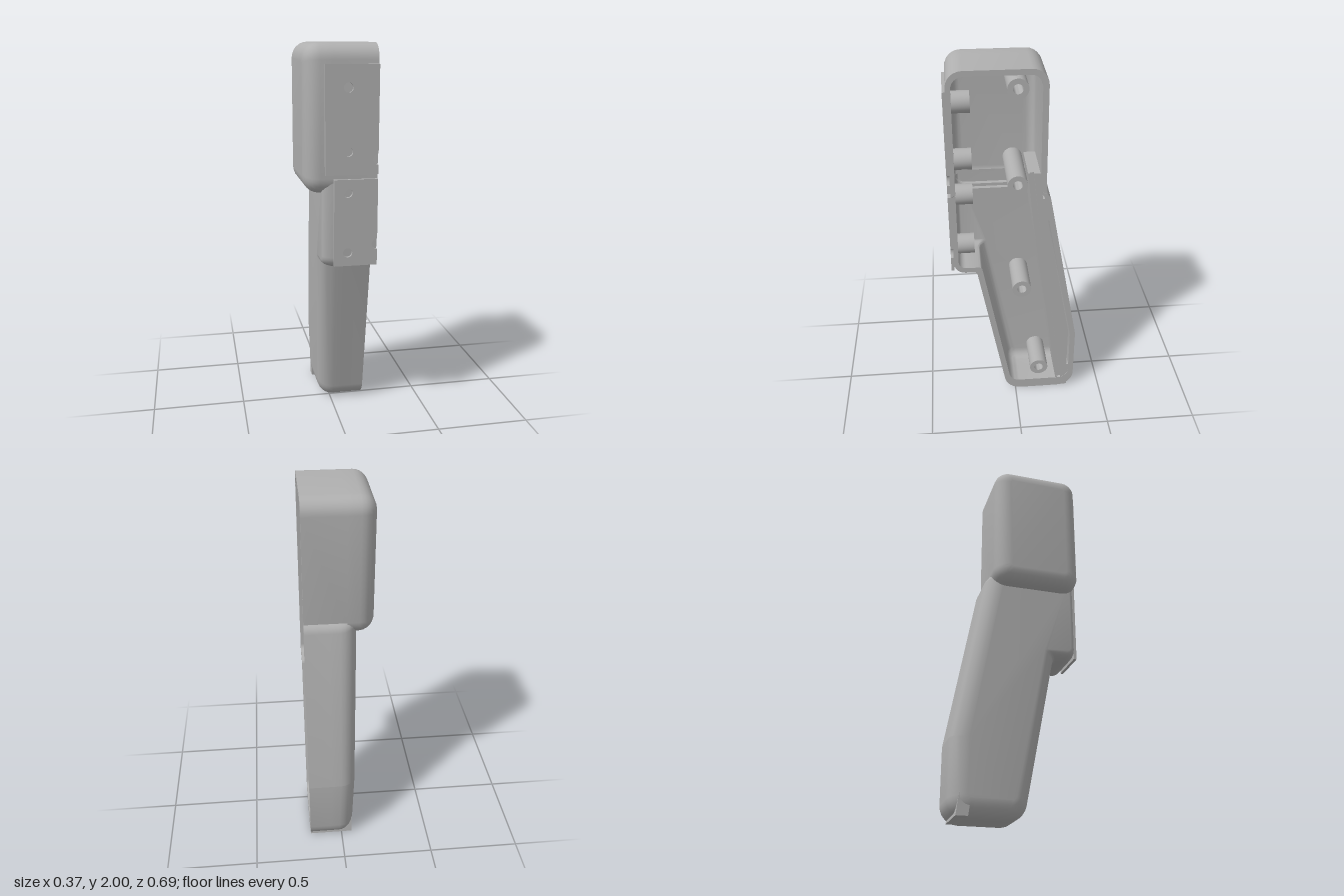
import * as THREE from 'three';
import { toCreasedNormals } from 'three/addons/utils/BufferGeometryUtils.js';

const OPEN = 0.183; // x of the open parting plane
const N = 6; // segments per rounded corner

// Rounded outline in (z, y). Each corner: [z, y, radius, fillet, wall]; the last two belong to the edge after it.
function outline(corners, fillet, wall) {
  const n = corners.length, lines = [], pts = [];
  for (let i = 0; i < n; i++) {
    const a = corners[i], b = corners[(i + 1) % n];
    const u = new THREE.Vector2(b[0] - a[0], b[1] - a[1]).normalize();
    const d = fillet * a[3] + wall * a[4];
    lines.push({ u, d, p: new THREE.Vector2(a[0] - u.y * d, a[1] + u.x * d) });
  }
  for (let i = 0; i < n; i++) {
    const A = lines[(i + n - 1) % n], B = lines[i];
    const turn = Math.atan2(A.u.cross(B.u), A.u.dot(B.u));
    const s = B.p.clone().sub(A.p).cross(B.u) / A.u.cross(B.u);
    const P = A.p.clone().addScaledVector(A.u, s);
    const r = turn > 0 ? Math.max(corners[i][2] - 0.4 * (A.d + B.d), Math.min(0.012, corners[i][2])) : corners[i][2];
    const start = P.addScaledVector(A.u, -r * Math.tan(Math.abs(turn) / 2));
    const side = Math.sign(turn) * r;
    const c = new THREE.Vector2(start.x - A.u.y * side, start.y + A.u.x * side);
    for (let k = 0; k <= N; k++) pts.push(start.clone().rotateAround(c, turn * k / N));
  }
  return pts;
}

// Hollow half shell: outer skin, rim, then inner skin
function shell(corners, side, fillet, mid, draft, skip) {
  const levels = [], inner = fillet * 0.55, floor = side + 0.03;
  for (let k = 0; k <= N; k++) {
    const t = k / N * Math.PI / 2;
    levels.push([fillet * (1 - Math.sin(t)), 0, side + fillet * (1 - Math.cos(t))]);
  }
  levels.push([0, 0, mid], [0, 0, OPEN], [0, 1, OPEN], [0, 1, mid]);
  for (let k = N; k >= 0; k--) {
    const t = k / N * Math.PI / 2;
    levels.push([inner * (1 - Math.sin(t)), 1, floor + inner * (1 - Math.cos(t))]);
  }
  const loops = levels.map(([f, w]) => outline(corners, f, w));
  const m = loops[0].length, pos = [], idx = [];
  loops.forEach((loop, i) => loop.forEach(p => {
    const x = levels[i][2];
    const lean = draft * Math.max(0, 1 - Math.max(p.y, 0) / 0.9) * (OPEN - x) / (OPEN - side);
    pos.push(x + lean, p.y, p.x);
  }));
  for (let i = 0; i < loops.length - 1; i++) for (let j = 0; j < m; j++) {
    const a = i * m + j, a2 = i * m + (j + 1) % m, b = a + m, b2 = a2 + m;
    const q = [a, a2, b, b2];
    if (skip(Math.min(...q.map(v => pos[v * 3])), q.map(v => pos[v * 3 + 1]))) continue;
    idx.push(a, b, a2, a2, b, b2);
  }
  const last = (loops.length - 1) * m;
  for (const [a, b, c] of THREE.ShapeUtils.triangulateShape(loops[0], [])) idx.push(a, b, c);
  for (const [a, b, c] of THREE.ShapeUtils.triangulateShape(loops.at(-1), [])) idx.push(last + a, last + c, last + b);
  const g = new THREE.BufferGeometry();
  g.setAttribute('position', new THREE.Float32BufferAttribute(pos, 3));
  g.setIndex(idx);
  return toCreasedNormals(g, 0.55);
}

// Hollow screw post standing on y = 0
function post(outer, hole, length) {
  const p = [[outer, 0], [outer, length], [hole, length], [hole, length * 0.3], [0, length * 0.3]];
  return toCreasedNormals(new THREE.LatheGeometry(p.map(v => new THREE.Vector2(...v)), 28), 0.6);
}

// Prism from a (z, y) polygon, running along x
function prism(points, x0, x1) {
  const s = new THREE.Shape(points.map(p => new THREE.Vector2(-p[0], p[1])));
  const g = new THREE.ExtrudeGeometry(s, { depth: x1 - x0, bevelEnabled: false });
  return g.rotateY(Math.PI / 2).translate(x0, 0, 0);
}

export function createModel() {
  const group = new THREE.Group();
  const grey = new THREE.MeshStandardMaterial({ color: 0xb0b0b0, side: THREE.DoubleSide });
  grey.name = 'plain grey';
  const add = (name, geometry) => {
    const mesh = new THREE.Mesh(geometry, grey);
    mesh.name = name;
    group.add(mesh);
    return mesh;
  };

  // Wide head, left open below where the grip joins
  add('headShell', shell([
    [-0.155, 1.265, 0.08, 1, 0.03], [0.33, 1.265, 0.08, 1, 0.025],
    [0.33, 2, 0.08, 1, 0.028], [-0.155, 2, 0.08, 1, 0.03],
  ], -0.185, 0.08, -0.04, 0, (x, ys) => x > -0.041 && ys.every(y => y < 1.36)));

  // Slanted grip with the block under the head
  add('gripShell', shell([
    [-0.345, 0, 0.095, 1, 0.06], [0.048, 0, 0.095, 0.8, 0.032],
    [0.21, 0.875, 0.02, 0.4, 0.03], [0.33, 0.875, 0.06, 0.4, 0.025],
    [0.33, 1.35, 0.004, 0, 0], [-0.172, 1.35, 0.06, 1, 0.03],
    [-0.345, 0.4, 0.03, 1, 0.03],
  ], -0.095, 0.09, 0.05, 0.03, (x, ys) => ys.every(y => y > 1.345)));

  // Front plates with screw holes and a half-round notch at the open edge
  for (const [name, left, y0, y1, notch, holes] of [
    ['upperPlate', -0.085, 1.365, 1.9, 1.44, [1.79, 1.48]],
    ['lowerPlate', -0.04, 0.895, 1.342, 1.005, [1.275, 0.965]],
  ]) {
    const s = new THREE.Shape();
    s.moveTo(left, y0);
    s.lineTo(OPEN, y0);
    s.lineTo(OPEN, notch - 0.028);
    s.absarc(OPEN, notch, 0.028, -Math.PI / 2, Math.PI / 2, true);
    s.lineTo(OPEN, y1);
    s.lineTo(left, y1);
    s.closePath();
    for (const y of holes) {
      s.holes.push(new THREE.Path().absarc(0.03, y, 0.024, 0, Math.PI * 2, true));
      // Boss behind each plate hole
      const boss = add('plateBoss', post(0.055, 0.024, 0.095));
      boss.rotation.x = -Math.PI / 2;
      boss.position.set(0.03, y, 0.31);
    }
    const g = new THREE.ExtrudeGeometry(s, { depth: 0.016, bevelEnabled: false, curveSegments: 16 });
    add(name, g).position.z = 0.329;
  }

  // Screw posts reaching across to the parting plane
  for (const [z, y, x] of [[-0.01, 1.9, -0.158], [-0.01, 1.39, -0.158], [-0.035, 0.735, -0.068], [-0.14, 0.145, -0.06]]) {
    const p = add('screwPost', post(0.052, 0.025, 0.172 - x));
    p.rotation.z = -Math.PI / 2;
    p.position.set(x, y, z);
  }

  // Curved rail down the back of the grip: lip, groove and bead
  const curve = new THREE.SplineCurve([[-0.09, 1.46], [-0.13, 1.1], [-0.2, 0.6], [-0.278, 0.004]].map(p => new THREE.Vector2(...p)));
  const line = curve.getPoints(24);
  const band = (a, b) => [...line.map(p => [p.x + a, p.y]), ...line.slice().reverse().map(p => [p.x + b, p.y])];
  add('railLip', prism(band(0.03, 0.02), -0.06, 0.18));
  add('railGroove', prism(band(0.02, 0), -0.06, 0.168));
  add('railBead', prism(band(0, -0.032), -0.06, 0.182));

  // Filling between rail and back wall, leaving a narrow slot
  const inner = line.filter(p => p.y > 0.05 && p.y < 1.32).map(p => [p.x - 0.03, p.y]);
  add('railBacking', prism([...inner, [-0.318, 0.05], [-0.318, 0.16], [-0.304, 0.16], [-0.304, 0.42],
    [-0.165, 1.18], [-0.178, 1.18], [-0.16, 1.31]], -0.02, 0.18));
  return group;
}
